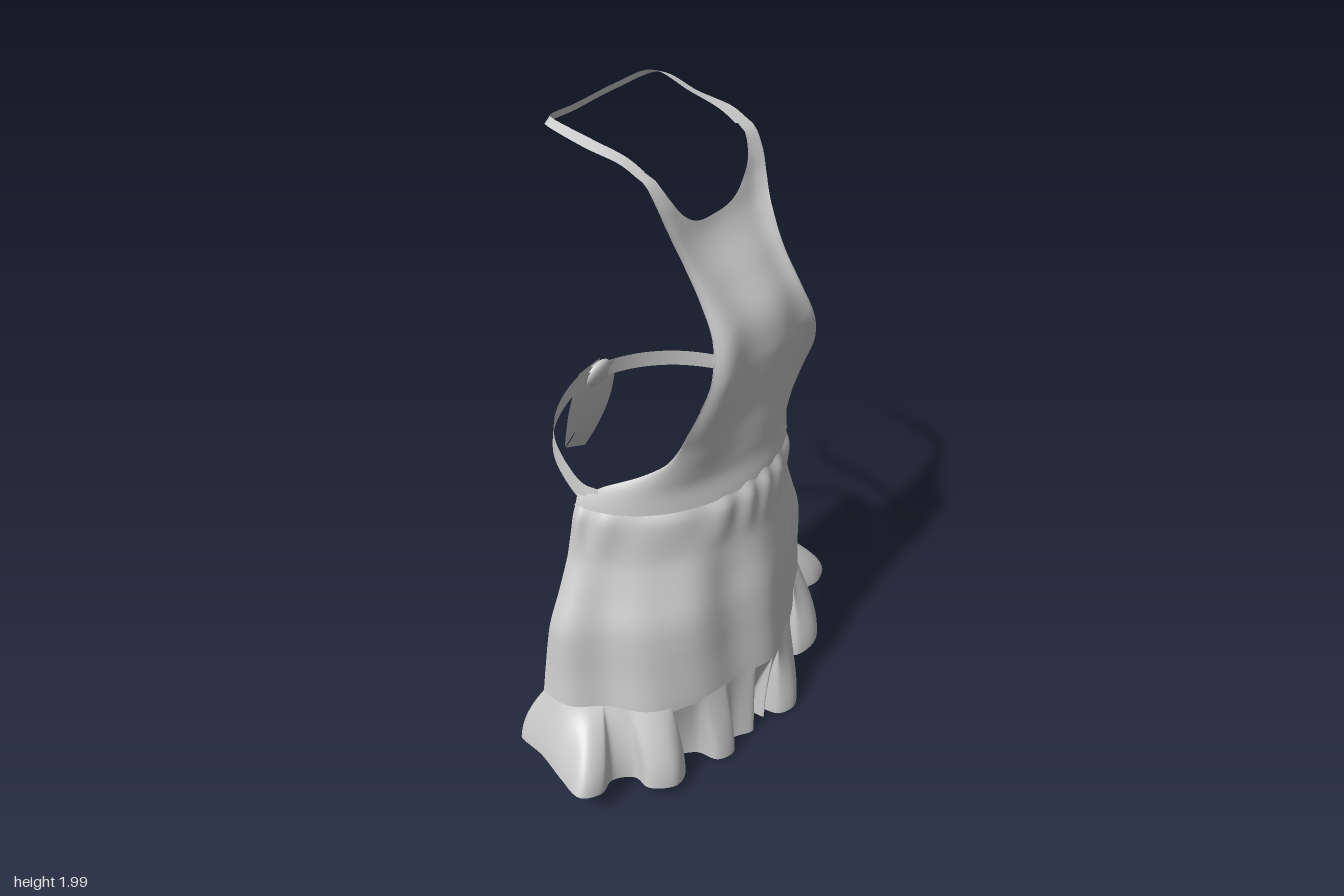
import * as THREE from 'three';

const cloth = new THREE.MeshStandardMaterial({ color: 0xcccccc, side: THREE.DoubleSide });
const { smoothstep, clamp } = THREE.MathUtils;

// Smooth sheet from a rule (u, v in 0..1) -> [x, y, z]
function sheet(name, rule, nu, nv) {
  const pos = [], idx = [];
  for (let j = 0; j <= nv; j++) {
    for (let i = 0; i <= nu; i++) {
      pos.push(...rule(i / nu, j / nv));
      if (i < nu && j < nv) {
        const a = j * (nu + 1) + i, b = a + nu + 1;
        idx.push(a, a + 1, b, a + 1, b + 1, b);
      }
    }
  }
  const g = new THREE.BufferGeometry();
  g.setAttribute('position', new THREE.Float32BufferAttribute(pos, 3));
  g.setIndex(idx);
  g.computeVertexNormals();
  const mesh = new THREE.Mesh(g, cloth);
  mesh.name = name;
  return mesh;
}

const spline = (pts) => new THREE.CatmullRomCurve3(pts.map((p) => new THREE.Vector3(...p)));

// Ribbon spanned between two edge curves
function ribbon(name, edgeA, edgeB, n = 60) {
  const a = spline(edgeA), b = spline(edgeB);
  return sheet(name, (u, v) => a.getPoint(u).lerp(b.getPoint(u), v).toArray(), n, 4);
}

// Interpolates rows [key, value, value...] smoothly, keys rising
function table(rows, key) {
  let i = 0;
  while (i < rows.length - 2 && key > rows[i + 1][0]) i++;
  const t = clamp((key - rows[i][0]) / (rows[i + 1][0] - rows[i][0]), 0, 1);
  return rows[i].slice(1).map((v, k) => {
    const p = rows[Math.max(i - 1, 0)][k + 1], n = rows[i + 1][k + 1];
    const q = rows[Math.min(i + 2, rows.length - 1)][k + 1];
    const m0 = (n - p) / 2, m1 = (q - v) / 2, t2 = t * t, t3 = t2 * t;
    return v * (2 * t3 - 3 * t2 + 1) + m0 * (t3 - 2 * t2 + t) + n * (3 * t2 - 2 * t3) + m1 * (t3 - t2);
  });
}

// height, half width, z at the side edge, z at the centre
const bibRows = [
  [0.97, 0.43, 0.0, 0.345], [1.04, 0.40, 0.07, 0.335], [1.09, 0.355, 0.17, 0.335], [1.14, 0.325, 0.24, 0.335],
  [1.2, 0.316, 0.28, 0.335], [1.26, 0.316, 0.308, 0.34], [1.32, 0.293, 0.328, 0.347], [1.4, 0.252, 0.34, 0.35],
  [1.5, 0.213, 0.315, 0.33], [1.6, 0.202, 0.265, 0.262], [1.7, 0.21, 0.218, 0.187],
  [1.78, 0.225, 0.18, 0.16], [1.84, 0.235, 0.152, 0.147], [1.9, 0.238, 0.115, 0.115], [1.93, 0.24, 0.06, 0.06],
];
const skirtRows = [
  [0.28, 0.578, -0.03, 0.395], [0.42, 0.56, -0.03, 0.39], [0.52, 0.55, -0.025, 0.388], [0.6, 0.537, -0.02, 0.383],
  [0.7, 0.495, -0.015, 0.37], [0.8, 0.458, -0.01, 0.36], [0.94, 0.438, 0.0, 0.355], [1.0, 0.415, 0.0, 0.335],
];

// Front of the apron: scooped neckline rising into the strap roots
function bib() {
  return sheet('bib', (u, v) => {
    const s = u * 2 - 1, a = s * Math.PI / 2;
    const y = 0.97 + v * (0.78 + 0.17 * Math.min(Math.abs(s) / 0.65, 1) ** 3);
    const [w, ze, zc] = table(bibRows, y);
    const drape = 0.006 * Math.sin(s * 9) * Math.sin(v * Math.PI);
    const lean = s > 0 ? 0.03 * s * smoothstep(y, 1.7, 1.92) : 0;
    return [w * Math.sin(a) + lean, y, ze + (zc - ze) * Math.cos(a) + drape];
  }, 100, 60);
}

// Point on the skirt, s from -1 (right back edge) to 1 (left back edge)
function skirtPoint(s, y) {
  const a = s * Math.PI / 2;
  const [w, ze, zc] = table(skirtRows, y);
  const gather = smoothstep(y, 0.78, 0.95) * (1 - smoothstep(y, 0.95, 1));
  const soft = smoothstep(1 - y, 0.02, 0.4);
  const fold = 0.012 * soft * (Math.sin(s * 13 + 0.8) + 0.5 * Math.sin(s * 23 + y * 4))
    + gather * 0.006 * (1 + Math.sin(s * 34 + 3 * Math.sin(s * 6)));
  return [(w + fold) * Math.sin(a), y, ze + (zc - ze) * Math.max(Math.cos(a), 0) ** 1.2 + fold * Math.cos(a)];
}

function skirt() {
  return sheet('skirt', (u, v) => skirtPoint(u * 2 - 1, 0.28 + 0.72 * v), 160, 40);
}

// Plan of the pleated hem, from the right back edge to the left one
const hem = spline([
  [-0.58, -0.11], [-0.62, -0.09], [-0.63, 0], [-0.66, 0.1], [-0.685, 0.19], [-0.62, 0.22], [-0.54, 0.2],
  [-0.48, 0.24], [-0.49, 0.3], [-0.42, 0.355], [-0.34, 0.33], [-0.32, 0.27], [-0.25, 0.31], [-0.235, 0.38],
  [-0.17, 0.4], [-0.13, 0.36], [-0.05, 0.395], [-0.03, 0.34], [0.01, 0.34], [0.02, 0.39], [0.045, 0.36],
  [0.06, 0.42], [0.12, 0.445], [0.19, 0.4], [0.2, 0.33], [0.28, 0.3], [0.32, 0.34], [0.4, 0.355],
  [0.47, 0.31], [0.48, 0.25], [0.55, 0.2], [0.62, 0.23], [0.68, 0.21], [0.69, 0.13], [0.66, 0.02],
  [0.67, -0.09], [0.63, -0.1],
].map(([x, z]) => [x, 0, z]));

// Pleated flounce along the bottom
function flounce() {
  return sheet('flounce', (u, v) => {
    const { x: hx, z: hz } = hem.getPoint(u);
    const s = clamp(Math.atan2(hx, hz + 0.1) / (Math.PI / 2), -1, 1);
    const yTop = 0.285 + 0.065 * s * s;
    const [tx, , tz] = skirtPoint(s, yTop);
    const hemY = 0.008 + 0.12 * (hx / 0.69) ** 2 + 0.05 * smoothstep(-hz, -0.15, 0.1);
    const spread = Math.sin(v * Math.PI / 2);
    return [tx + (hx - tx) * (0.5 * v + 0.5 * spread), yTop + (hemY - yTop) * v, tz + (hz - tz) * spread];
  }, 288, 16);
}

// Strap looping round the neck
function neckStrap() {
  return ribbon('neckStrap', [
    [-0.2, 1.915, 0.085], [-0.2, 1.94, 0.03], [-0.207, 1.967, -0.08], [-0.215, 1.997, -0.2],
    [-0.17, 1.985, -0.245], [0, 1.953, -0.3], [0.15, 1.977, -0.27], [0.24, 1.997, -0.22],
    [0.23, 1.967, -0.08], [0.222, 1.94, 0.03], [0.215, 1.915, 0.085],
  ], [
    [-0.239, 1.91, 0.095], [-0.24, 1.935, 0.04], [-0.24, 1.955, -0.08], [-0.24, 1.985, -0.2],
    [-0.18, 1.965, -0.25], [0, 1.932, -0.305], [0.16, 1.957, -0.275], [0.27, 1.985, -0.21],
    [0.273, 1.955, -0.08], [0.272, 1.935, 0.04], [0.268, 1.91, 0.095],
  ], 90);
}

// Tie passing round the back of the waist, flaring slightly downwards
function waistTie() {
  const path = [
    [-0.41, 1.01, 0.07], [-0.412, 1.01, 0.02], [-0.375, 1.02, -0.07], [-0.3, 1.035, -0.18], [-0.18, 1.05, -0.263],
    [0, 1.065, -0.305], [0.18, 1.05, -0.272], [0.31, 1.035, -0.185], [0.39, 1.02, -0.07], [0.418, 1.01, 0.02], [0.41, 1.01, 0.07],
  ];
  const shift = (d) => path.map(([x, y, z]) => [x * (1 - d * 0.3), y + d, z * (1 - d * 0.3)]);
  return ribbon('waistTie', shift(0.028), shift(-0.028), 90);
}

// Flat knot with two wide hanging ends
function knot() {
  const group = new THREE.Group();
  group.name = 'knot';
  const lump = new THREE.Mesh(new THREE.SphereGeometry(1, 20, 14), cloth);
  lump.name = 'knotLump';
  lump.scale.set(0.06, 0.05, 0.022);
  lump.rotation.x = 0.35;
  lump.position.set(0.07, 1.05, -0.31);
  group.add(
    lump,
    ribbon('longEnd',
      [[0.0, 1.08, -0.3], [0.0, 0.93, -0.335], [0.02, 0.83, -0.37], [0.045, 0.73, -0.435]],
      [[0.14, 1.08, -0.285], [0.145, 0.93, -0.32], [0.15, 0.8, -0.375], [0.16, 0.675, -0.447]], 24),
    ribbon('shortEnd',
      [[-0.01, 1.08, -0.32], [-0.055, 0.97, -0.325], [-0.04, 0.87, -0.355], [-0.01, 0.78, -0.39]],
      [[0.11, 1.08, -0.33], [0.1, 0.97, -0.36], [0.12, 0.87, -0.4], [0.14, 0.77, -0.447]], 24),
  );
  return group;
}

export function createModel() {
  const model = new THREE.Group();
  model.name = 'apron';
  model.add(bib(), skirt(), flounce(), neckStrap(), waistTie(), knot());
  return model;
}
